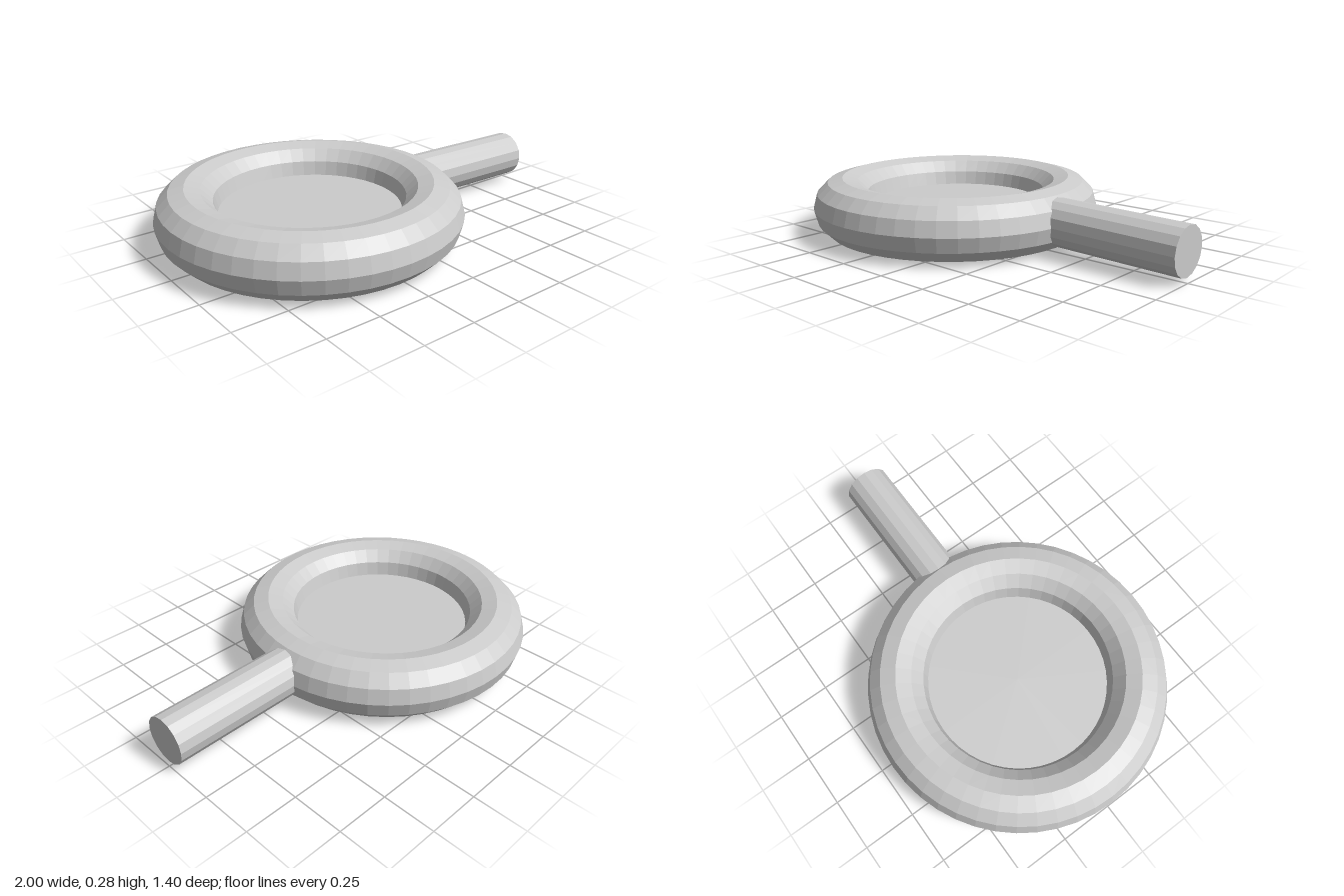
import * as THREE from 'three';

export function createModel() {
  const group = new THREE.Group();
  const material = new THREE.MeshStandardMaterial({ color: 0xcccccc, flatShading: true });
  const centreX = -0.298, midY = 0.142;

  function add(name, geometry, x, y, z) {
    const mesh = new THREE.Mesh(geometry, material);
    mesh.name = name;
    mesh.position.set(x, y, z);
    group.add(mesh);
    return mesh;
  }

  // Thick rounded ring lying flat
  const ring = new THREE.TorusGeometry(0.56, 0.142, 12, 48).rotateX(-Math.PI / 2);
  add('ring', ring, centreX, midY, 0);

  // Thin disc filling the ring at mid height, its rim sunk into the ring
  add('disc', new THREE.CylinderGeometry(0.45, 0.45, 0.01, 48), centreX, midY, 0);

  // Round handle, starting inside the ring and dipping slightly towards its end
  const start = new THREE.Vector3(0.27, 0.147, 0.002);
  const end = new THREE.Vector3(0.998, 0.135, 0.005);
  const axis = end.clone().sub(start);
  const middle = start.clone().add(end).multiplyScalar(0.5);
  const handle = add('handle', new THREE.CylinderGeometry(0.112, 0.112, axis.length(), 16),
    middle.x, middle.y, middle.z);
  handle.quaternion.setFromUnitVectors(new THREE.Vector3(0, 1, 0), axis.normalize());

  return group;
}
